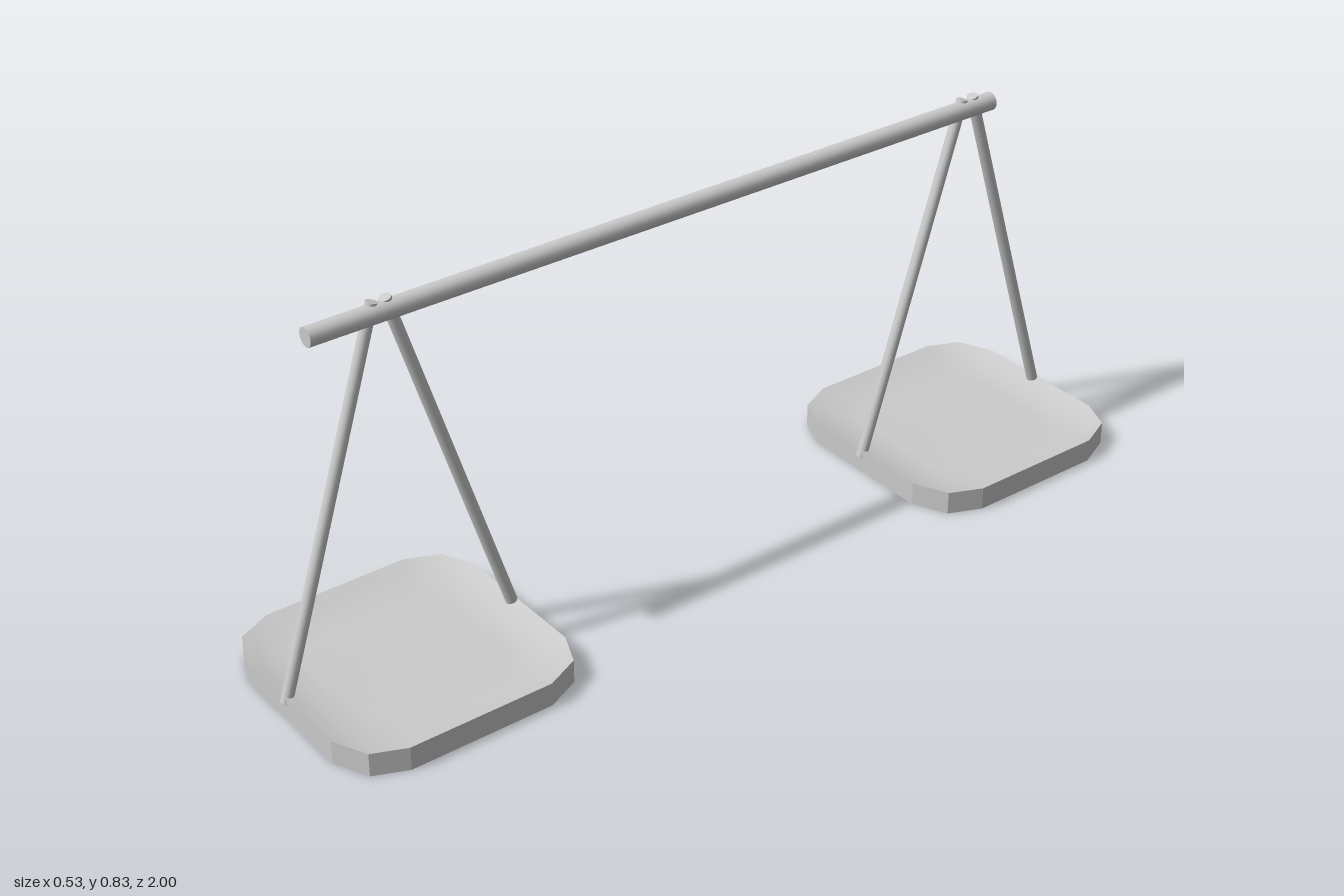
import * as THREE from 'three';

const material = new THREE.MeshStandardMaterial({ color: 0xcccccc });

// Quarter outline of a pan: a square with two-step chamfered corners
const quarter = [[0.267, -0.16], [0.267, 0.16], [0.236, 0.232]];
const outline = [];
for (let k = 0; k < 4; k++) {
  const c = Math.round(Math.cos(k * Math.PI / 2)), s = Math.round(Math.sin(k * Math.PI / 2));
  for (const [x, z] of quarter) outline.push([x * c - z * s, x * s + z * c]);
}

// Skin through scaled copies of the outline, given as [scale, y]
function loft(rings) {
  const n = outline.length, positions = [], index = [];
  for (const [scale, y] of rings) {
    for (const [x, z] of outline) positions.push(x * scale, y, z * scale);
  }
  for (let r = 0; r < rings.length - 1; r++) {
    for (let i = 0; i < n; i++) {
      const a = r * n + i, b = r * n + (i + 1) % n;
      if (rings[r][0] > 0) index.push(a, b + n, b);
      if (rings[r + 1][0] > 0) index.push(a, a + n, b + n);
    }
  }
  const geometry = new THREE.BufferGeometry();
  geometry.setAttribute('position', new THREE.Float32BufferAttribute(positions, 3));
  geometry.setIndex(index);
  return geometry;
}

function addMesh(parent, geometry, name) {
  const mesh = new THREE.Mesh(geometry, material);
  mesh.name = name;
  parent.add(mesh);
  return mesh;
}

// Round bar between two points
function addBar(parent, from, to, radius, sides, name) {
  const direction = to.clone().sub(from);
  const bar = addMesh(parent, new THREE.CylinderGeometry(radius, radius, direction.length(), sides), name);
  bar.position.copy(from).add(to).multiplyScalar(0.5);
  bar.quaternion.setFromUnitVectors(new THREE.Vector3(0, 1, 0), direction.normalize());
}

export function createModel() {
  const model = new THREE.Group();
  model.name = 'balanceBeamWithPans';
  const v = (x, y, z) => new THREE.Vector3(x, y, z);

  // Beam
  addBar(model, v(-0.01, 0.801, -0.79), v(-0.01, 0.801, 0.88), 0.02, 20, 'beam');

  // Flat underside and faceted rim
  const shell = loft([[0, 0], [1, 0], [1, 0.052]]).toNonIndexed();
  shell.computeVertexNormals();

  // Shallow smooth hollow on top
  const rings = [];
  for (let i = 0; i <= 5; i++) {
    const t = i / 5;
    rings.push([1 - 0.4 * t, 0.052 - 0.018 * (1 - (1 - t) ** 2)]);
  }
  rings.push([0, 0.034]);
  const hollow = loft(rings);
  hollow.computeVertexNormals();

  // Two hanging pans, each on a pair of slanted rods
  for (const [side, z] of [['front', 0.723], ['back', -0.727]]) {
    const pan = new THREE.Group();
    pan.name = side + 'Pan';
    pan.position.z = z;
    addMesh(pan, shell, 'panShell');
    addMesh(pan, hollow, 'panHollow');
    for (const s of [-1, 1]) {
      addBar(pan, v(-0.015, 0.034, s * 0.262), v(-0.015, 0.824, s * 0.014), 0.0125, 14, 'hangerRod');
    }
    model.add(pan);
  }
  return model;
}
